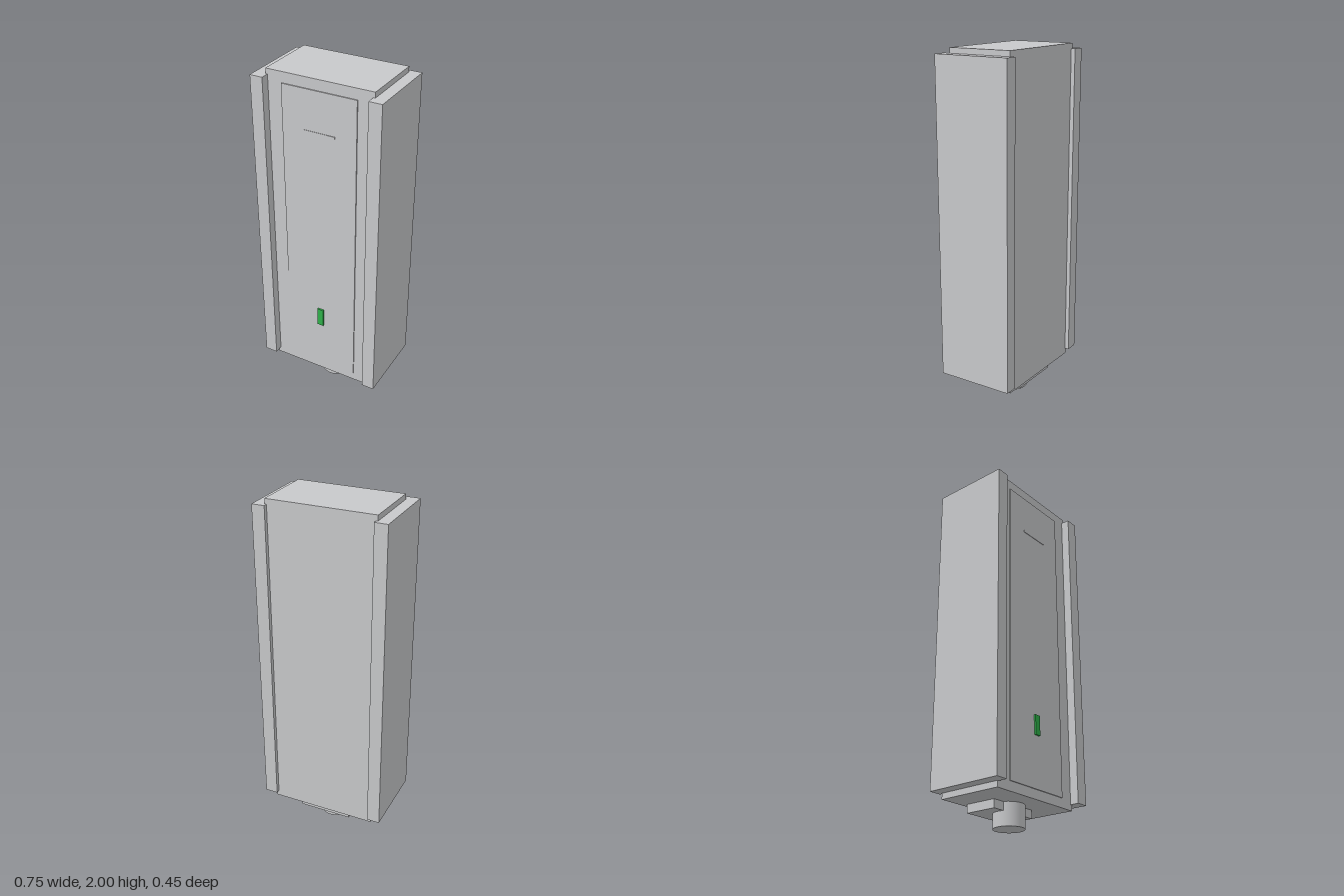
import * as THREE from 'three';

export function createModel() {
  const model = new THREE.Group();
  const grey = new THREE.MeshStandardMaterial({ color: 0xc8c9cb });
  grey.name = 'light grey casing';
  const green = new THREE.MeshStandardMaterial({ color: 0x2fb14a });
  green.name = 'green indicator';

  // Box given by its minimum and maximum corners
  function box(name, min, max, material = grey) {
    const size = max.map((v, i) => v - min[i]);
    const mesh = new THREE.Mesh(new THREE.BoxGeometry(...size), material);
    mesh.position.set(...max.map((v, i) => (v + min[i]) / 2));
    mesh.name = name;
    model.add(mesh);
  }

  // Main casing
  box('body', [-0.31, 0.127, -0.2], [0.31, 2, 0.174]);

  // Deeper slabs on both sides
  for (const [name, side] of [['leftSidePanel', 1], ['rightSidePanel', -1]]) {
    const x = [0.299 * side, 0.373 * side].sort((a, b) => a - b);
    box(name, [x[0], 0.16, -0.224], [x[1], 1.97, 0.224]);
  }

  // Front cover with a narrow raised strip and the indicator light
  box('frontCover', [-0.217, 0.18, 0.17], [0.217, 1.94, 0.18]);
  box('frontStrip', [-0.093, 1.703, 0.175], [0.093, 1.715, 0.183]);
  box('indicatorLight', [-0.019, 0.472, 0.175], [0.019, 0.584, 0.19], green);

  // Mounting plate and round connector underneath
  box('basePlate', [-0.155, 0.08, -0.165], [0.155, 0.13, 0.02]);
  const connector = new THREE.Mesh(new THREE.CylinderGeometry(0.086, 0.086, 0.13, 40), grey);
  connector.position.set(0, 0.065, -0.01);
  connector.name = 'connector';
  model.add(connector);

  return model;
}
